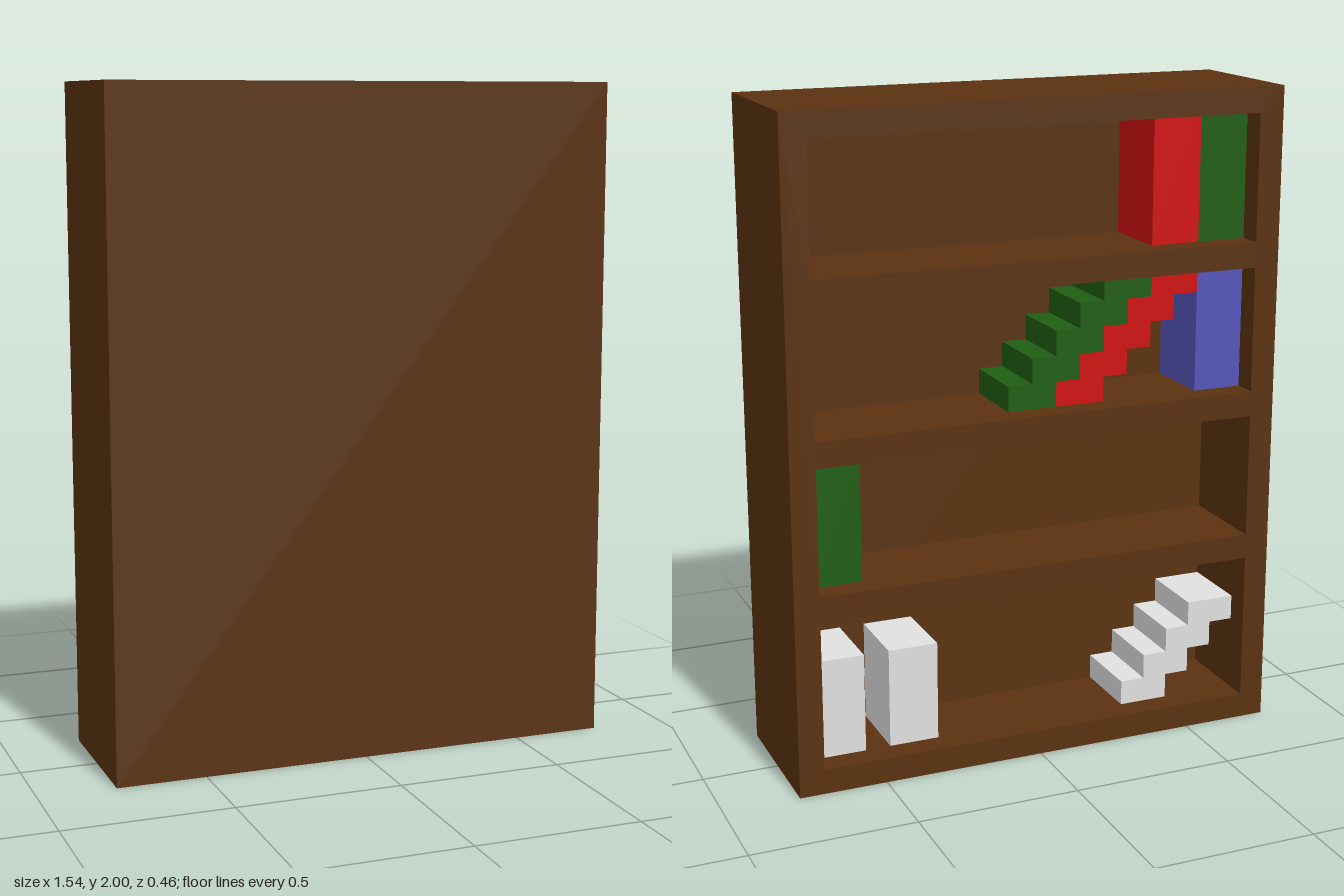
import * as THREE from 'three';

const U = 1 / 13; // one design unit: the case is 20 x 26 x 6 units

function material(name, color) {
  const m = new THREE.MeshStandardMaterial({ color });
  m.name = name;
  return m;
}

function rectangle(Type, x0, y0, x1, y1) {
  const r = new Type();
  r.moveTo(x0, y0);
  r.lineTo(x1, y0);
  r.lineTo(x1, y1);
  r.lineTo(x0, y1);
  r.closePath();
  return r;
}

export function createModel() {
  const wood = material('dark wood', 0x5a3210);
  const red = material('red cover', 0xd01010);
  const green = material('green cover', 0x205e14);
  const blue = material('blue cover', 0x5555bb);
  const white = material('white cover', 0xe0e0e0);

  const group = new THREE.Group();
  group.name = 'bookcase';

  const add = (name, geometry, mat) => {
    geometry.scale(U, U, U);
    const mesh = new THREE.Mesh(geometry, mat);
    mesh.name = name;
    group.add(mesh);
  };
  const extrude = (shape, z, depth) =>
    new THREE.ExtrudeGeometry(shape, { depth, bevelEnabled: false }).translate(0, 0, z);

  // Shelf frame with four compartments opening towards -z
  const frame = rectangle(THREE.Shape, -10, 0, 10, 26);
  for (const [floor, ceiling] of [[1, 7], [8, 13], [14, 19], [20, 25]]) {
    frame.holes.push(rectangle(THREE.Path, -9, floor, 9, ceiling));
  }
  add('shelfFrame', extrude(frame, -3, 4), wood);

  // Solid panel closing the +z side
  add('panel', new THREE.BoxGeometry(20, 26, 2).translate(0, 13, 2), wood);

  // Upright book, 2 wide and 3 deep, starting at x and standing on y
  const uprightBook = (name, x, y, height, mat) =>
    add(name, new THREE.BoxGeometry(2, height, 3).translate(x + 1, y + height / 2, -0.5), mat);

  // Leaning book: each row shifts one unit towards -x
  const leaningBook = (name, x, y, rows, mat) => {
    const outline = [];
    for (let k = 0; k < rows; k++) {
      outline.push(new THREE.Vector2(x + 2 - k, y + k), new THREE.Vector2(x + 2 - k, y + k + 1));
    }
    for (let k = rows - 1; k >= 0; k--) {
      outline.push(new THREE.Vector2(x - k, y + k + 1), new THREE.Vector2(x - k, y + k));
    }
    add(name, extrude(new THREE.Shape(outline), -2, 3), mat);
  };

  // Top shelf
  uprightBook('topGreenBook', -9, 20, 5, green);
  uprightBook('topRedBook', -7, 20, 5, red);

  // Second shelf
  uprightBook('blueBook', -9, 14, 5, blue);
  leaningBook('leaningRedBook', -3, 14, 5, red);
  leaningBook('leaningGreenBook', -1, 14, 5, green);

  // Third shelf
  uprightBook('lowerGreenBook', 7, 8, 5, green);

  // Bottom shelf
  uprightBook('outerWhiteBook', 7, 1, 4, white);
  uprightBook('innerWhiteBook', 4, 1, 4, white);
  leaningBook('leaningWhiteBook', -6, 1, 4, white);

  return group;
}
